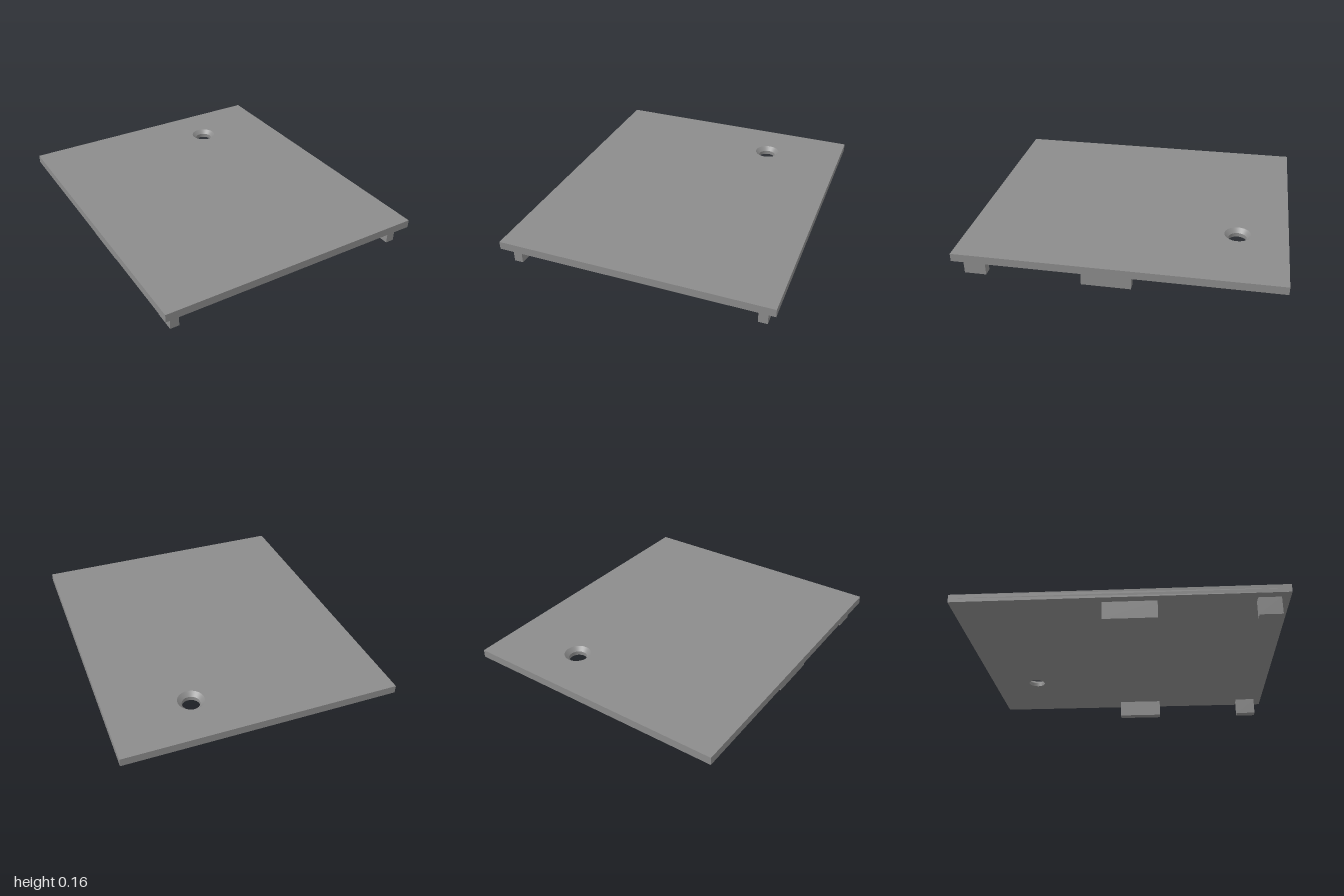
import * as THREE from 'three';
import { toCreasedNormals } from 'three/addons/utils/BufferGeometryUtils.js';

const LEG_HEIGHT = 0.113, THICKNESS = 0.051;
const HOLE = { x: 0.345, z: -0.685, bore: 0.056, mouth: 0.083 };

// Flat plate with a through hole whose upper half flares into a countersink
function plateGeometry() {
  const w = 0.865, d = 1;
  const shape = new THREE.Shape([
    new THREE.Vector2(-w, -d), new THREE.Vector2(w, -d),
    new THREE.Vector2(w, d), new THREE.Vector2(-w, d),
  ]);
  const hole = new THREE.Path();
  hole.absarc(HOLE.x, -HOLE.z, HOLE.bore, 0, Math.PI * 2, true);
  shape.holes.push(hole);
  const geo = new THREE.ExtrudeGeometry(shape, {
    depth: THICKNESS, steps: 2, bevelEnabled: false, curveSegments: 24,
  });
  geo.rotateX(-Math.PI / 2);

  // Widen the top rim of the hole
  const p = geo.attributes.position;
  const flare = HOLE.mouth / HOLE.bore;
  for (let i = 0; i < p.count; i++) {
    const dx = p.getX(i) - HOLE.x, dz = p.getZ(i) - HOLE.z;
    if (p.getY(i) > THICKNESS * 0.9 && Math.hypot(dx, dz) < HOLE.bore * 1.01) {
      p.setX(i, HOLE.x + dx * flare);
      p.setZ(i, HOLE.z + dz * flare);
    }
  }
  return toCreasedNormals(geo, 0.5);
}

export function createModel() {
  const group = new THREE.Group();
  const grey = new THREE.MeshStandardMaterial({ color: 0x8c8c8c });
  grey.name = 'grey';

  const plate = new THREE.Mesh(plateGeometry(), grey);
  plate.name = 'plate';
  plate.position.y = LEG_HEIGHT;
  group.add(plate);

  // Locating tabs under the plate: centre x, back z, front z
  const tab = (name, x, z0, z1) => {
    const mesh = new THREE.Mesh(new THREE.BoxGeometry(0.057, LEG_HEIGHT, z1 - z0), grey);
    mesh.name = name;
    mesh.position.set(x, LEG_HEIGHT / 2, (z0 + z1) / 2);
    group.add(mesh);
  };
  tab('frontTabLeft', 0.782, 0.81, 0.947);
  tab('frontTabRight', -0.785, 0.81, 0.947);
  tab('sideTabLeft', 0.782, -0.09, 0.215);
  tab('sideTabRight', -0.785, -0.098, 0.23);
  return group;
}
